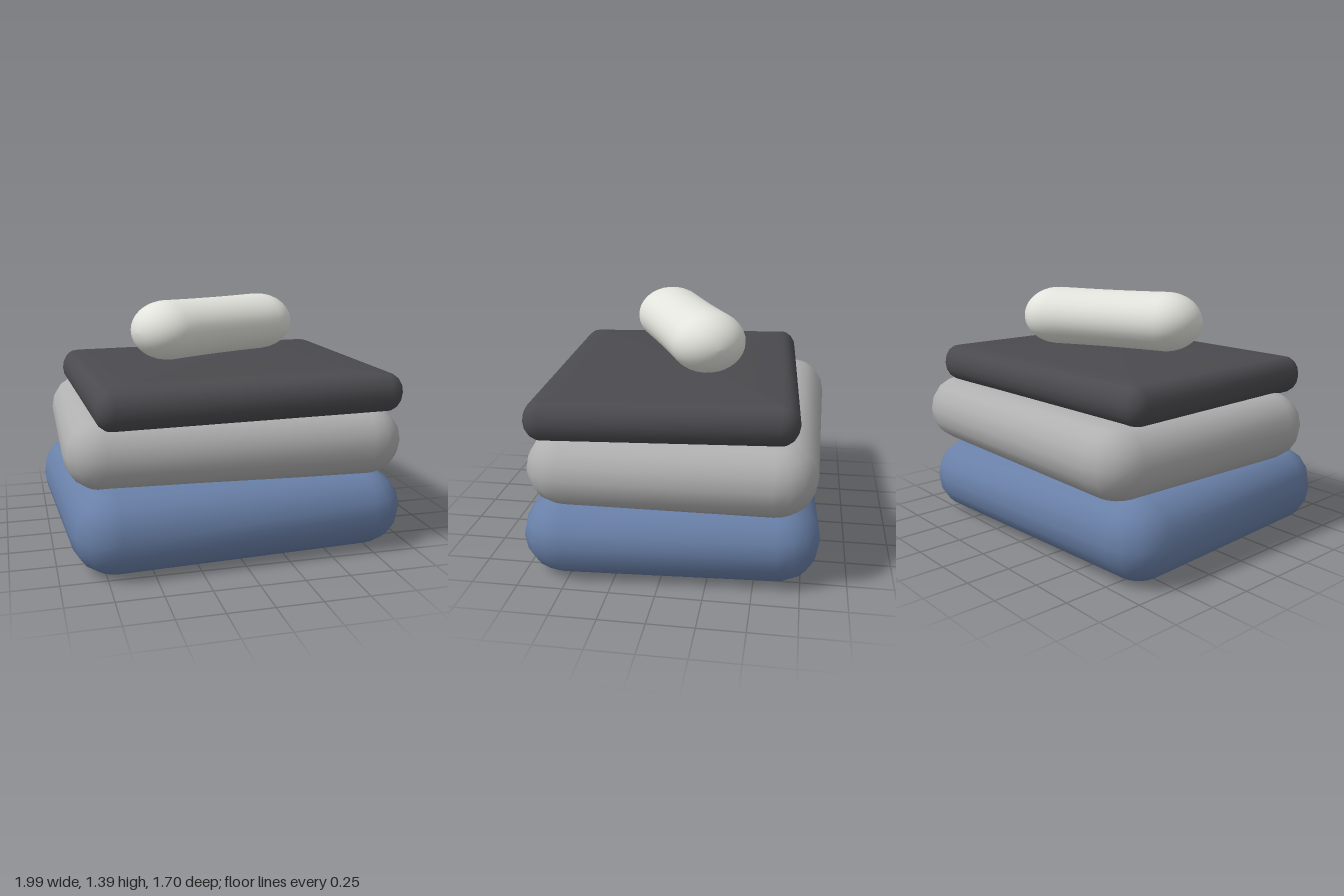
import * as THREE from 'three';

const mat = (name, color) => {
  const m = new THREE.MeshStandardMaterial({ color });
  m.name = name;
  return m;
};

// Rounded-rectangle loop of half sizes a, b and corner radius c, seen from above
function outline(a, b, c, steps) {
  const pts = [];
  const corners = [[1, 1], [-1, 1], [-1, -1], [1, -1]];
  corners.forEach(([sx, sz], q) => {
    for (let i = 0; i <= steps; i++) {
      const t = (q + i / steps) * Math.PI / 2;
      pts.push([sx * (a - c) + c * Math.cos(t), sz * (b - c) + c * Math.sin(t)]);
    }
  });
  return pts;
}

// Soft slab: stacked loops following a bulging edge profile, closed by a centre point at each end
function cushion({ name, material, half, corner, edge, y0, y1, dome = 0, tilt = [0, 0], lower = 1,
  at, yaw, rows = 8, steps = 4 }) {
  const [a, b] = half, mid = (y0 + y1) / 2, h = (y1 - y0) / 2;
  const loops = [];
  const ring = (inset, y) => loops.push(
    outline(a - inset, b - inset, Math.max(corner - inset, 0.015), steps).map(([x, z]) => [x, y, z]));
  const shrink = (s, y) => {
    const base = outline(a - edge, b - edge, Math.max(corner - edge, 0.015), steps);
    loops.push(base.map(([x, z]) => [x * s, y, z * s]));
  };
  shrink(0, y0);
  shrink(0.8, y0);
  for (let i = 0; i <= rows; i++) {
    const t = (i / rows - 0.5) * Math.PI;
    ring(edge * (1 - Math.cos(t)), mid + h * Math.sin(t));
  }
  for (const s of [0.85, 0.6, 0.3, 0]) shrink(s, y1 + dome * (1 - s * s));

  const pos = [], idx = [], n = loops[0].length;
  loops.forEach((loop, j) => loop.forEach(([x, y, z]) => {
    const k = y > mid ? 1 : lower;
    pos.push(x, y + k * (tilt[0] * x + tilt[1] * z), z);
    void j;
  }));
  for (let j = 0; j < loops.length - 1; j++) {
    for (let i = 0; i < n; i++) {
      const p = j * n + i, q = j * n + (i + 1) % n;
      if (j > 0) idx.push(p, p + n, q);
      if (j < loops.length - 2) idx.push(q, p + n, q + n);
      if (j === 0) idx.push(q, p + n, q + n);
    }
  }
  const geo = new THREE.BufferGeometry();
  geo.setAttribute('position', new THREE.Float32BufferAttribute(pos, 3));
  geo.setIndex(idx);
  geo.computeVertexNormals();
  const mesh = new THREE.Mesh(geo, material);
  mesh.name = name;
  mesh.position.set(at[0], 0, at[1]);
  mesh.rotation.y = yaw;
  return mesh;
}

// Bolster: a flattened capsule with a slightly pinched waist
function bolster(material) {
  const geo = new THREE.CapsuleGeometry(0.21, 0.695, 10, 32, 8);
  geo.rotateZ(Math.PI / 2);
  const p = geo.attributes.position;
  for (let i = 0; i < p.count; i++) {
    const u = Math.min(1, Math.abs(p.getX(i)) / 0.347);
    const waist = 0.98 + 0.02 * u * u;
    p.setY(i, p.getY(i) * 0.81 * waist);
    p.setZ(i, p.getZ(i) * waist);
  }
  geo.computeVertexNormals();
  const mesh = new THREE.Mesh(geo, material);
  mesh.name = 'bolster';
  mesh.position.set(0.022, 1.22, -0.04);
  mesh.rotation.y = 0.435;
  return mesh;
}

export function createModel() {
  const group = new THREE.Group();
  group.name = 'cushionStack';
  const blue = mat('blue cloth', 0x6980a8);
  const grey = mat('light grey cloth', 0xb0b0b0);
  const dark = mat('charcoal cloth', 0x4b4a4e);
  const ivory = mat('ivory cloth', 0xe2e3dc);

  group.add(
    // Thick bottom cushion, flat underneath
    cushion({ name: 'bottomCushion', material: blue, half: [0.955, 0.81], corner: 0.24, edge: 0.21,
      y0: 0.005, y1: 0.45, tilt: [-0.014, 0], lower: 0, at: [-0.01, 0], yaw: 0.056 }),
    // Middle cushion, turned the other way
    cushion({ name: 'middleCushion', material: grey, half: [0.958, 0.775], corner: 0.22, edge: 0.18,
      y0: 0.435, y1: 0.82, tilt: [-0.008, -0.012], at: [0.025, -0.06], yaw: -0.02 }),
    // Thin top cushion with a domed face
    cushion({ name: 'topCushion', material: dark, half: [0.868, 0.715], corner: 0.1, edge: 0.09,
      y0: 0.8, y1: 1.015, dome: 0.03, tilt: [0.003, -0.015], at: [0.045, 0.03], yaw: 0.043 }),
    bolster(ivory)
  );
  return group;
}
